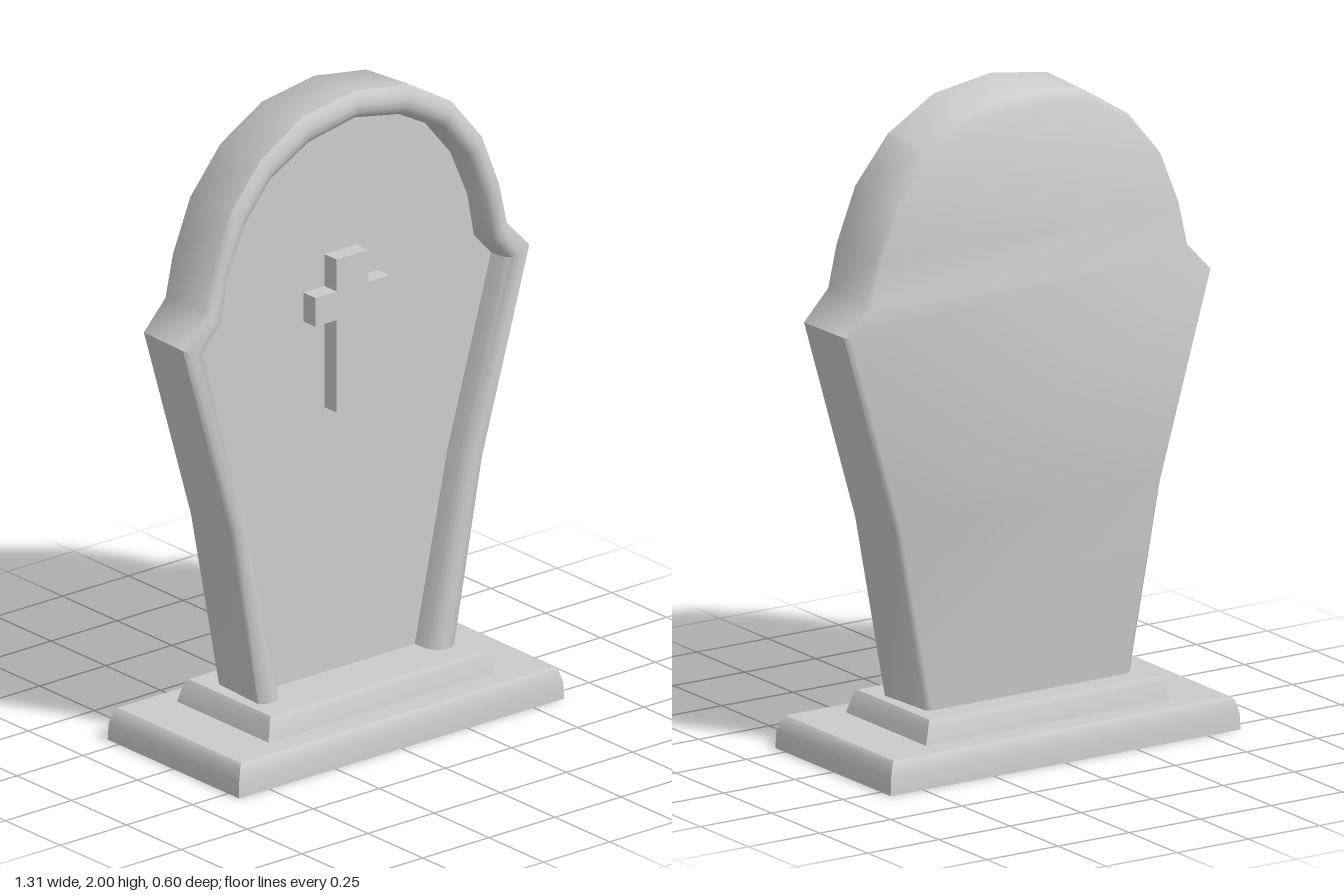
import * as THREE from 'three';
import { toCreasedNormals } from 'three/addons/utils/BufferGeometryUtils.js';

const material = new THREE.MeshStandardMaterial({ color: 0xcccccc });

// Skins a stack of rings (counter-clockwise seen from above), optionally capped.
function loft(rings, crease, capped) {
  const pos = [];
  const tri = (a, b, c) => {
    const area = b.clone().sub(a).cross(c.clone().sub(a)).length();
    if (area > 1e-8) for (const p of [a, b, c]) pos.push(p.x, p.y, p.z);
  };
  const n = rings[0].length;
  for (let i = 0; i < rings.length - 1; i++) {
    for (let j = 0; j < n; j++) {
      const k = (j + 1) % n;
      tri(rings[i][j], rings[i][k], rings[i + 1][k]);
      tri(rings[i][j], rings[i + 1][k], rings[i + 1][j]);
    }
  }
  if (capped) {
    const low = rings[0], top = rings[rings.length - 1];
    for (let j = 1; j < n - 1; j++) {
      tri(low[0], low[j + 1], low[j]);
      tri(top[0], top[j], top[j + 1]);
    }
  }
  const geometry = new THREE.BufferGeometry();
  geometry.setAttribute('position', new THREE.Float32BufferAttribute(pos, 3));
  return toCreasedNormals(geometry, crease);
}

// Rectangular plinth from levels of [half width, half depth, height].
function plinth(levels) {
  const rings = levels.map(([w, d, y]) =>
    [[w, d], [w, -d], [-w, -d], [-w, d]].map(([x, z]) => new THREE.Vector3(x, y, z)));
  return loft(rings, 0.75, true);
}

// Headstone: half outlines of the outer edge and of the recessed panel, bottom to top.
function headstone() {
  const outer = [[0.37, 0.165], [0.475, 0.73], [0.655, 1.35], [0.57, 1.44], [0.54, 1.57],
    [0.475, 1.735], [0.36, 1.875], [0.2, 1.97], [0, 2]];
  const inner = [[0.28, 0.165], [0.405, 0.75], [0.57, 1.325], [0.505, 1.395], [0.48, 1.53],
    [0.415, 1.68], [0.32, 1.795], [0.18, 1.87], [0, 1.905]];
  // Section from panel, over the rounded frame, to the back: [inset 0..1, z]
  const section = [[1, 0.02], [0.96, 0.07], [0.84, 0.094], [0.65, 0.108], [0.42, 0.11],
    [0.18, 0.105], [0, 0.092], [0.13, -0.1], [0.3, -0.114]];
  const rings = outer.map(([ox, oy], i) => {
    const [ix, iy] = inner[i];
    const right = section.map(([t, z]) => new THREE.Vector3(
      THREE.MathUtils.lerp(ox, ix, t), THREE.MathUtils.lerp(oy, iy, t), z));
    const left = right.map((p) => new THREE.Vector3(-p.x, p.y, p.z)).reverse();
    return [...right, ...left];
  });
  return loft(rings, 0.9, false);
}

// Raised cross on the panel.
function cross() {
  const half = [[0.06, 1], [0.06, 1.29], [0.14, 1.29], [0.14, 1.38], [0.06, 1.38], [0.06, 1.48]];
  const left = half.map(([x, y]) => [-x, y]).reverse();
  const shape = new THREE.Shape([...half, ...left].map(([x, y]) => new THREE.Vector2(x, y)));
  const geometry = new THREE.ExtrudeGeometry(shape, { depth: 0.06, bevelEnabled: false });
  return geometry.translate(0, 0, 0.015);
}

export function createModel() {
  const group = new THREE.Group();
  group.name = 'gravestone';
  const parts = {
    lowerPlinth: plinth([[0.615, 0.3, 0], [0.613, 0.298, 0.05], [0.602, 0.29, 0.09], [0.592, 0.282, 0.1]]),
    upperPlinth: plinth([[0.43, 0.21, 0.095], [0.413, 0.197, 0.155], [0.403, 0.188, 0.17]]),
    headstone: headstone(),
    cross: cross(),
  };
  for (const [name, geometry] of Object.entries(parts)) {
    const mesh = new THREE.Mesh(geometry, material);
    mesh.name = name;
    group.add(mesh);
  }
  return group;
}
